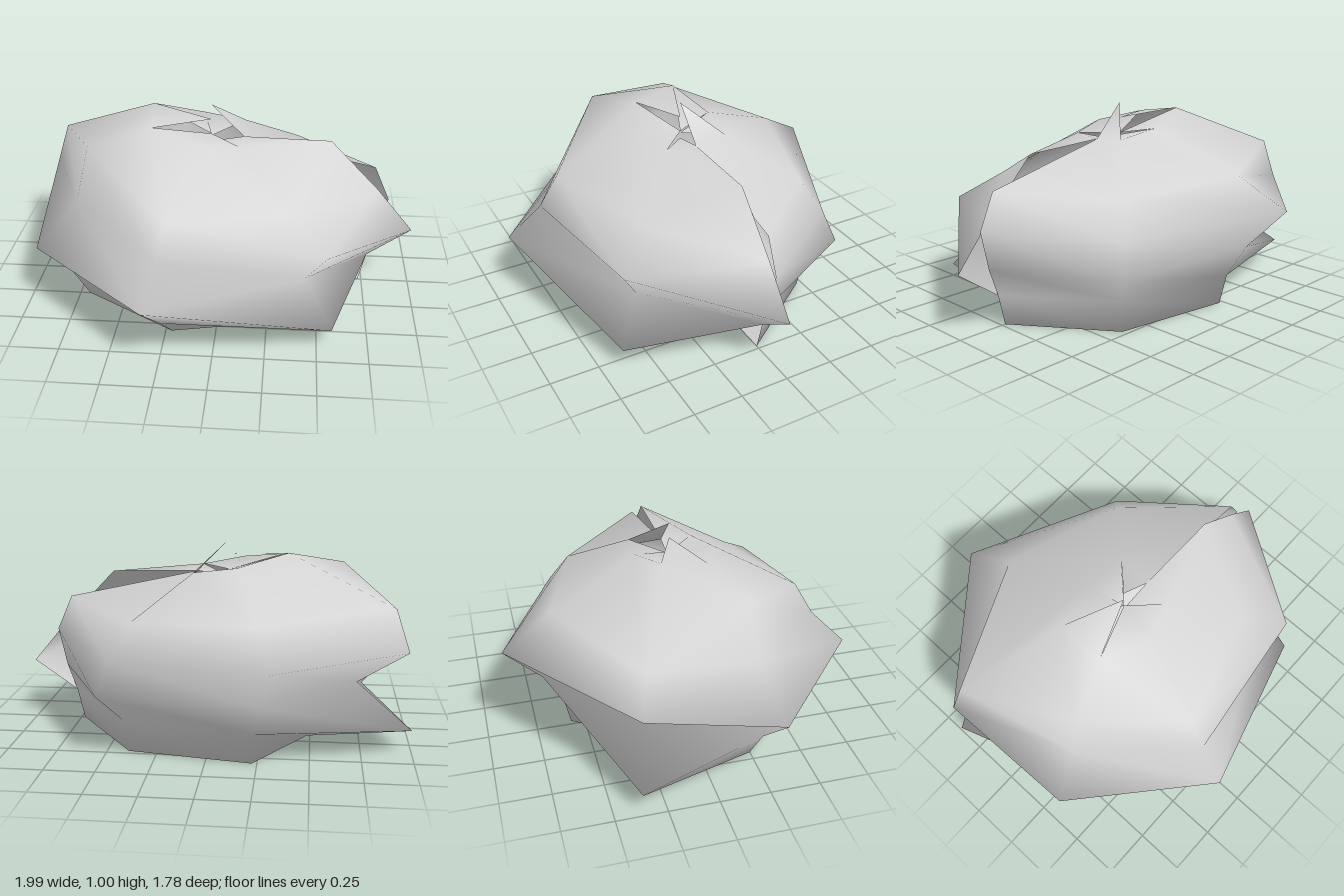
import * as THREE from 'three';

const SIDES = 7;
const CENTER_X = -0.065;
const STRETCH_X = 1.225;

// Upright profiles around the boulder, top to bottom: [radius, height].
// The first and last stand at the same angle and leave a jagged seam.
const PROFILES = [
  [[0.135, 0.83], [0.5, 0.82], [0.71, 0.55], [0.865, 0.32], [0.68, 0.16], [0.4, 0]],
  [[0.2, 0.84], [0.56, 0.63], [0.785, 0.49], [0.65, 0.31], [0.83, 0.11], [0.55, 0]],
  [[0.22, 0.875], [0.64, 0.66], [0.738, 0.49], [0.913, 0.32], [0.7, 0.13], [0.57, 0]],
  [[0.26, 0.91], [0.54, 0.85], [0.6, 0.56], [0.79, 0.32], [0.65, 0.16], [0.575, 0]],
  [[0.28, 0.95], [0.757, 0.72], [0.82, 0.51], [0.6, 0.33], [0.845, 0.12], [0.38, 0]],
  [[0.2, 0.88], [0.66, 0.69], [0.915, 0.54], [0.72, 0.33], [0.62, 0.16], [0.585, 0]],
  [[0.22, 0.85], [0.58, 0.65], [0.7, 0.48], [0.77, 0.32], [0.63, 0.17], [0.6, 0]],
  [[0.135, 0.83], [0.69, 0.68], [0.755, 0.5], [0.72, 0.3], [0.68, 0.16], [0.65, 0]],
];
// Each wedge ends in its own splinter at the crown
const TIPS = [0.8, 0.84, 0.84, 0.92, 0.84, 0.83, 1.0];

function boulderGeometry() {
  const points = [];
  const faces = [];
  const add = (r, y, k) => {
    const a = (k / SIDES) * Math.PI * 2;
    points.push(CENTER_X + r * Math.cos(a) * STRETCH_X, y, r * Math.sin(a));
  };
  PROFILES.forEach((profile, k) => profile.forEach(([r, y]) => add(r, y, k)));
  const rows = PROFILES[0].length;
  const at = (k, j) => k * rows + j;

  for (let k = 0; k < SIDES; k++) {
    // Crown splinter and flat underside
    const tip = points.length / 3;
    add(0, TIPS[k], k);
    add(0, 0, k);
    faces.push(tip, at(k + 1, 0), at(k, 0));
    faces.push(at(k, rows - 1), at(k + 1, rows - 1), tip + 1);
    // Side faces
    for (let j = 0; j < rows - 1; j++) {
      faces.push(at(k, j), at(k + 1, j), at(k, j + 1));
      faces.push(at(k + 1, j), at(k + 1, j + 1), at(k, j + 1));
    }
  }
  const geometry = new THREE.BufferGeometry();
  geometry.setAttribute('position', new THREE.Float32BufferAttribute(points, 3));
  geometry.setIndex(faces);
  geometry.computeVertexNormals();
  return geometry;
}

export function createModel() {
  const group = new THREE.Group();
  group.name = 'rock';
  const stone = new THREE.MeshStandardMaterial({ color: 0xd4d4d4, side: THREE.DoubleSide });
  stone.name = 'pale stone';
  const boulder = new THREE.Mesh(boulderGeometry(), stone);
  boulder.name = 'boulder';
  group.add(boulder);
  return group;
}
